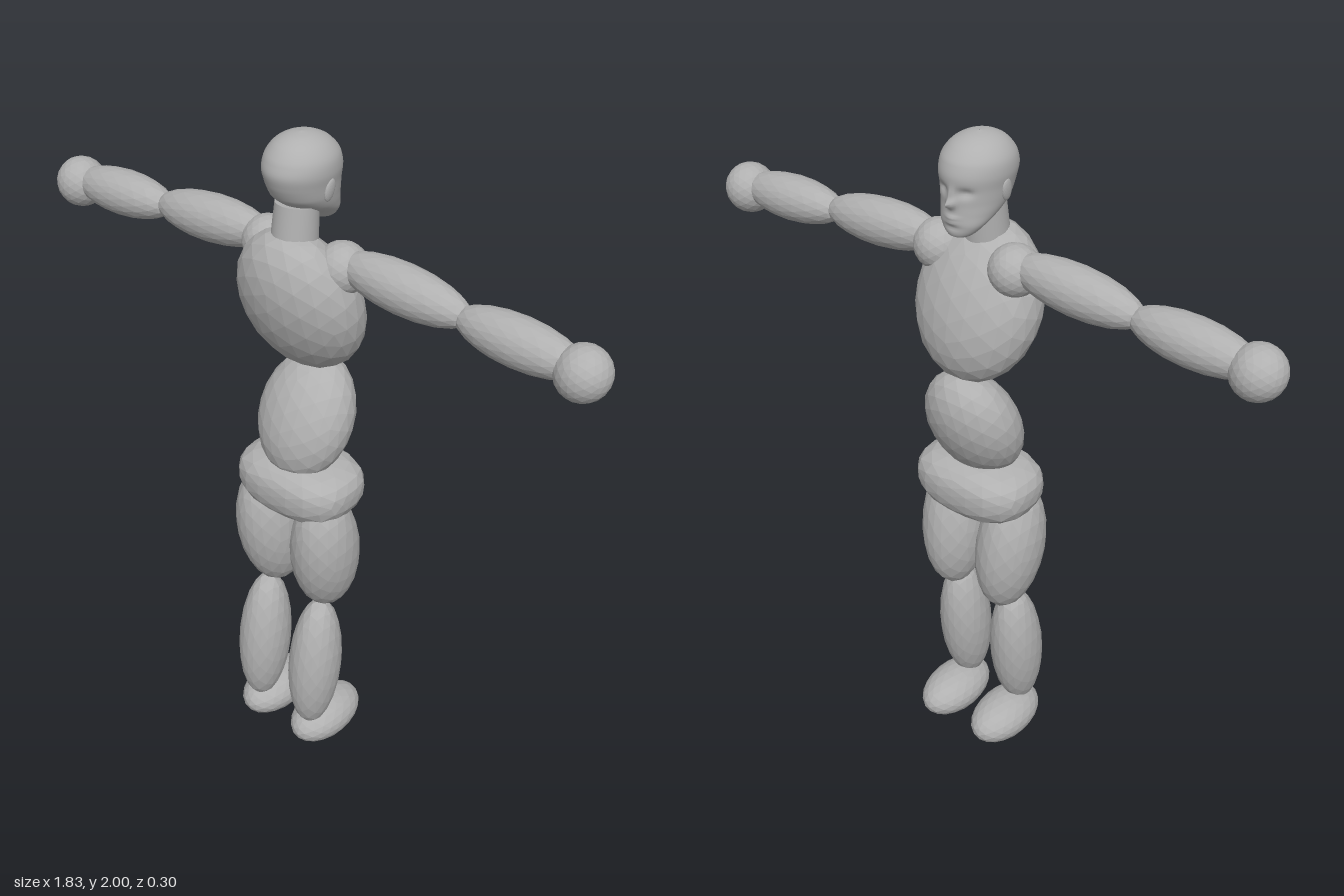
import * as THREE from 'three';

const grey = new THREE.MeshStandardMaterial({ color: 0xb0b0b0 });
grey.name = 'grey';
const deg = THREE.MathUtils.degToRad;

// Faceted unit ball; unshared corners give flat normals
function facetedBall() {
  const g = new THREE.IcosahedronGeometry(1, 3);
  g.computeVertexNormals();
  return g;
}

// Ellipsoid with half sizes, tilted by degrees about x and z
function ellipsoid(name, size, pos, tiltX = 0, tiltZ = 0) {
  const g = facetedBall().scale(...size);
  g.computeVertexNormals();
  const m = new THREE.Mesh(g, grey);
  m.name = name;
  m.position.set(...pos);
  m.rotation.set(deg(tiltX), 0, deg(tiltZ));
  return m;
}

// Pelvis: ball pushed out towards a rounded box, with a deeper underside
function makePelvis() {
  const g = facetedBall();
  const p = g.attributes.position;
  for (let i = 0; i < p.count; i++) {
    const v = new THREE.Vector3().fromBufferAttribute(p, i);
    const e = 2.7;
    const n = Math.pow(Math.abs(v.x) ** e + Math.abs(v.y) ** e + Math.abs(v.z) ** e, 1 / e);
    v.divideScalar(n);
    p.setXYZ(i, v.x * 0.187, v.y * (v.y < 0 ? 0.1 : 0.085), v.z * 0.135);
  }
  g.computeVertexNormals();
  const m = new THREE.Mesh(g, grey);
  m.name = 'pelvis';
  m.position.set(0, 0.95, 0.005);
  return m;
}

// Head: lofted elliptical rings, with facial features raised by soft bumps
function makeHead() {
  // height, half width, face z, back z
  const rings = [
    [1.746, 0, -0.085, -0.085], [1.75, 0.032, -0.107, -0.05], [1.78, 0.062, -0.113, -0.01],
    [1.81, 0.077, -0.112, 0.05], [1.84, 0.085, -0.111, 0.088], [1.875, 0.09, -0.113, 0.106],
    [1.91, 0.095, -0.115, 0.115], [1.945, 0.09, -0.104, 0.105], [1.975, 0.068, -0.076, 0.08],
    [1.993, 0.036, -0.038, 0.045], [2.0, 0, 0.003, 0.003],
  ];
  const yw = new THREE.CatmullRomCurve3(rings.map(([y, w]) => new THREE.Vector3(w, y, 0)));
  const fb = new THREE.CatmullRomCurve3(rings.map(([, , f, b]) => new THREE.Vector3(f, b, 0)));
  // centre x, centre y, spread x, spread y, forward push
  const bumps = [
    [0, 1.842, 0.011, 0.012, 0.024], [0, 1.865, 0.008, 0.018, 0.01],
    [0.036, 1.872, 0.018, 0.012, -0.013], [-0.036, 1.872, 0.018, 0.012, -0.013],
    [0, 1.803, 0.02, 0.006, 0.007], [0, 1.79, 0.018, 0.005, 0.005],
    [0, 1.775, 0.025, 0.006, -0.004],
  ];
  const rows = 60, cols = 64, pos = [], idx = [];
  for (let i = 0; i <= rows; i++) {
    const a = yw.getPoint(i / rows), b = fb.getPoint(i / rows);
    const w = Math.max(a.x, 0.0005), mid = (b.x + b.y) / 2, d = Math.max((b.y - b.x) / 2, 0.0005);
    for (let j = 0; j < cols; j++) {
      const t = (j / cols) * Math.PI * 2;
      const x = w * Math.cos(t), y = a.y;
      let z = mid + d * Math.sin(t);
      if (Math.sin(t) < 0) {
        for (const [cx, cy, sx, sy, push] of bumps) {
          z += Math.sin(t) * push * Math.exp(-(((x - cx) / sx) ** 2) - ((y - cy) / sy) ** 2);
        }
      }
      pos.push(x, y, z);
      if (i < rows) {
        const k = i * cols + j, r = i * cols + ((j + 1) % cols);
        idx.push(k, k + cols, r, r, k + cols, r + cols);
      }
    }
  }
  const g = new THREE.BufferGeometry();
  g.setAttribute('position', new THREE.Float32BufferAttribute(pos, 3));
  g.setIndex(idx);
  g.computeVertexNormals();
  const m = new THREE.Mesh(g, grey);
  m.name = 'head';
  return m;
}

export function createModel() {
  const model = new THREE.Group();
  model.name = 'jointedFigure';

  // Head and neck (the face looks along -z)
  model.add(makeHead());
  const neck = new THREE.Mesh(new THREE.CylinderGeometry(0.058, 0.064, 0.12, 32), grey);
  neck.name = 'neck';
  neck.position.set(0, 1.755, 0.027);
  neck.rotation.x = deg(-6);
  model.add(neck);

  // Torso
  model.add(
    ellipsoid('chest', [0.19, 0.229, 0.131], [0, 1.527, 0.003], 21),
    ellipsoid('abdomen', [0.147, 0.19, 0.11], [0, 1.15, -0.02], -25),
    makePelvis(),
  );

  // Paired parts
  for (const s of [1, -1]) {
    const side = s > 0 ? 'left' : 'right';
    const ear = ellipsoid(side + 'Ear', [0.008, 0.032, 0.018], [s * 0.089, 1.865, 0], -10, s * -6);
    const arm = new THREE.Group();
    arm.name = side + 'Arm';
    arm.add(
      ellipsoid('shoulder', [0.072, 0.072, 0.072], [s * 0.125, 1.655, -0.01]),
      ellipsoid('upperArm', [0.205, 0.068, 0.066], [s * 0.32, 1.66, -0.01], 0, s * -4),
      ellipsoid('forearm', [0.185, 0.066, 0.066], [s * 0.662, 1.635, -0.01], 0, s * -3),
      ellipsoid('hand', [0.073, 0.073, 0.073], [s * 0.84, 1.618, -0.01]),
    );
    const leg = new THREE.Group();
    leg.name = side + 'Leg';
    leg.add(
      ellipsoid('thigh', [0.098, 0.215, 0.11], [s * 0.102, 0.74, 0.02], 8, s * -3),
      ellipsoid('shin', [0.078, 0.232, 0.086], [s * 0.1, 0.322, 0.06], -6),
      ellipsoid('foot', [0.085, 0.07, 0.138], [s * 0.1, 0.07, 0.007]),
    );
    model.add(ear, arm, leg);
  }
  return model;
}
